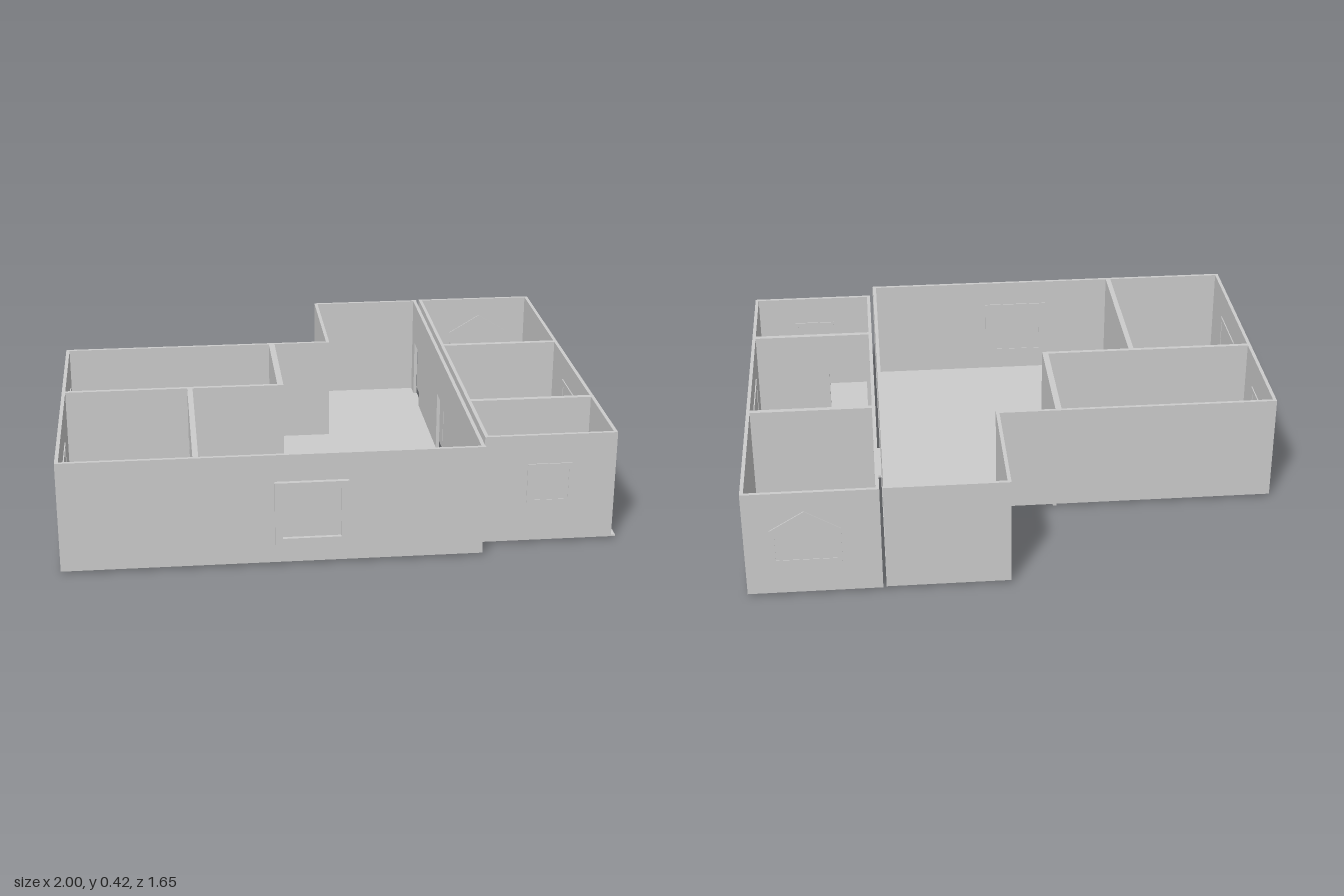
import * as THREE from 'three';

const BASE = 0.01, TOP = 0.42, DOOR_TOP = 0.25, T = 0.013;

export function createModel() {
  const house = new THREE.Group();
  house.name = 'house';
  const mat = new THREE.MeshStandardMaterial({ color: 0xcccccc, flatShading: true });

  // Box given by its two opposite corners
  function block(parent, name, x0, x1, y0, y1, z0, z1) {
    const mesh = new THREE.Mesh(new THREE.BoxGeometry(x1 - x0, y1 - y0, z1 - z0), mat);
    mesh.position.set((x0 + x1) / 2, (y0 + y1) / 2, (z0 + z1) / 2);
    mesh.name = name;
    parent.add(mesh);
  }

  // Wall over a rectangular footprint, with an optional doorway [from, to] along its length
  function wall(name, x0, x1, z0, z1, door) {
    const g = new THREE.Group();
    g.name = name;
    house.add(g);
    if (!door) return block(g, 'panel', x0, x1, BASE, TOP, z0, z1);
    const [a, b] = door;
    if (x1 - x0 > z1 - z0) {
      block(g, 'panel', x0, a, BASE, TOP, z0, z1);
      block(g, 'panel', b, x1, BASE, TOP, z0, z1);
      block(g, 'lintel', a, b, DOOR_TOP, TOP, z0, z1);
    } else {
      block(g, 'panel', x0, x1, BASE, TOP, z0, a);
      block(g, 'panel', x0, x1, BASE, TOP, b, z1);
      block(g, 'lintel', x0, x1, DOOR_TOP, TOP, a, b);
    }
  }

  // Room floors: x0, x1, z0, z1
  const rooms = {
    frontLeftRoom: [-1, -0.52, 0.13, 0.805],
    livingRoom: [-0.52, 0.49, 0.13, 0.805],
    backLeftRoom: [-1, -0.175, -0.335, 0.13],
    hall: [-0.175, 0.49, -0.335, 0.13],
    backRoom: [0.045, 0.49, -0.825, -0.335],
    cornerRoom: [0.502, 0.98, -0.83, -0.245],
    sideRoom: [0.502, 0.98, -0.245, 0.365],
    smallRoom: [0.502, 0.995, 0.365, 0.72],
  };
  for (const [name, [x0, x1, z0, z1]] of Object.entries(rooms))
    block(house, name + 'Floor', x0, x1, BASE, BASE + 0.006, z0, z1);

  // Outer walls
  wall('frontWall', -1, 0.49, 0.805 - T, 0.805);
  wall('leftWall', -1, -1 + T, -0.335, 0.805);
  wall('backLeftWall', -1, 0.045, -0.335, -0.335 + T);
  wall('backRoomSideWall', 0.045, 0.045 + T, -0.825, -0.335 + T);
  wall('backRoomWall', 0.045, 0.49, -0.825, -0.825 + T);
  wall('cornerRoomBackWall', 0.502, 0.98, -0.83, -0.83 + T);
  wall('rightWall', 0.98 - T, 0.98, -0.83, 0.365);
  wall('smallRoomRightWall', 0.98 - T, 0.98, 0.365, 0.72);
  wall('smallRoomFrontWall', 0.502, 0.98, 0.72 - T, 0.72);

  // Inner walls and doorways
  wall('frontLeftPartition', -0.53, -0.51, 0.13, 0.8, [0.18, 0.34]);
  wall('backLeftPartition', -1, -0.165, 0.124, 0.14);
  wall('hallPartition', -0.188, -0.165, -0.335, 0.13, [-0.31, -0.16]);
  wall('cornerPartition', 0.502, 0.98, -0.255, -0.235);
  wall('smallRoomPartition', 0.502, 0.98, 0.355, 0.375, [0.53, 0.68]);

  // Double wall between the main part and the right wing, with two doorways
  for (const [side, x0, front, back] of [['inner', 0.475, 0.805, -0.825], ['outer', 0.502, 0.72, -0.83]]) {
    wall(side + 'WingWallFront', x0, x0 + T, -0.335, front, [-0.14, 0.02]);
    wall(side + 'WingWallBack', x0, x0 + T, back, -0.335, [-0.75, -0.6]);
  }

  // Door sills under the floor
  block(house, 'hallSill', -0.175, -0.16, 0, BASE, -0.33, -0.142);
  block(house, 'wingSill', 0.485, 0.503, 0, BASE, -0.067, 0.147);

  // Window: frame with a recessed pane; u runs along the wall, turned to face outward
  function addWindow(name, x, z, turn, w, y0, y1, proud, peak = 0, rim = 0.022) {
    const outline = (Path, i) => {
      const pts = [[-w / 2 + i, i], [w / 2 - i, i], [w / 2 - i, y1 - y0 - i]];
      if (peak) pts.push([0, peak - y0 - i]);
      pts.push([-w / 2 + i, y1 - y0 - i]);
      return new Path(pts.map(p => new THREE.Vector2(...p)));
    };
    const g = new THREE.Group();
    g.name = name;
    const shape = outline(THREE.Shape, 0);
    shape.holes.push(outline(THREE.Path, rim));
    const frame = new THREE.Mesh(
      new THREE.ExtrudeGeometry(shape, { depth: proud + T + 0.004, bevelEnabled: false }), mat);
    frame.position.z = -T - 0.004;
    frame.name = 'frame';
    const pane = new THREE.Mesh(
      new THREE.ExtrudeGeometry(outline(THREE.Shape, rim), { depth: T + 0.004, bevelEnabled: false }), mat);
    pane.position.z = -T - 0.002;
    pane.name = 'pane';
    g.add(frame, pane);
    g.position.set(x, y0, z);
    g.rotation.y = turn;
    house.add(g);
  }
  const Q = Math.PI / 2;
  addWindow('frontWindow', -0.12, 0.805, 0, 0.26, 0.08, 0.32, 0.016, 0, 0.027);
  addWindow('smallRoomWindow', 0.74, 0.72, 0, 0.16, 0.16, 0.31, 0.004, 0, 0.01);
  addWindow('rightWindow', 0.98, 0.065, Q, 0.25, 0.145, 0.325, 0.008);
  addWindow('backLeftWindow', -1, -0.11, -Q, 0.22, 0.07, 0.3, 0.004);
  addWindow('frontLeftWindow', -1, 0.485, -Q, 0.25, 0.15, 0.31, 0.004, 0, 0.015);
  addWindow('gabledWindow', 0.765, -0.83, 2 * Q, 0.25, 0.13, 0.27, 0.004, 0.345, 0.018);

  return house;
}
